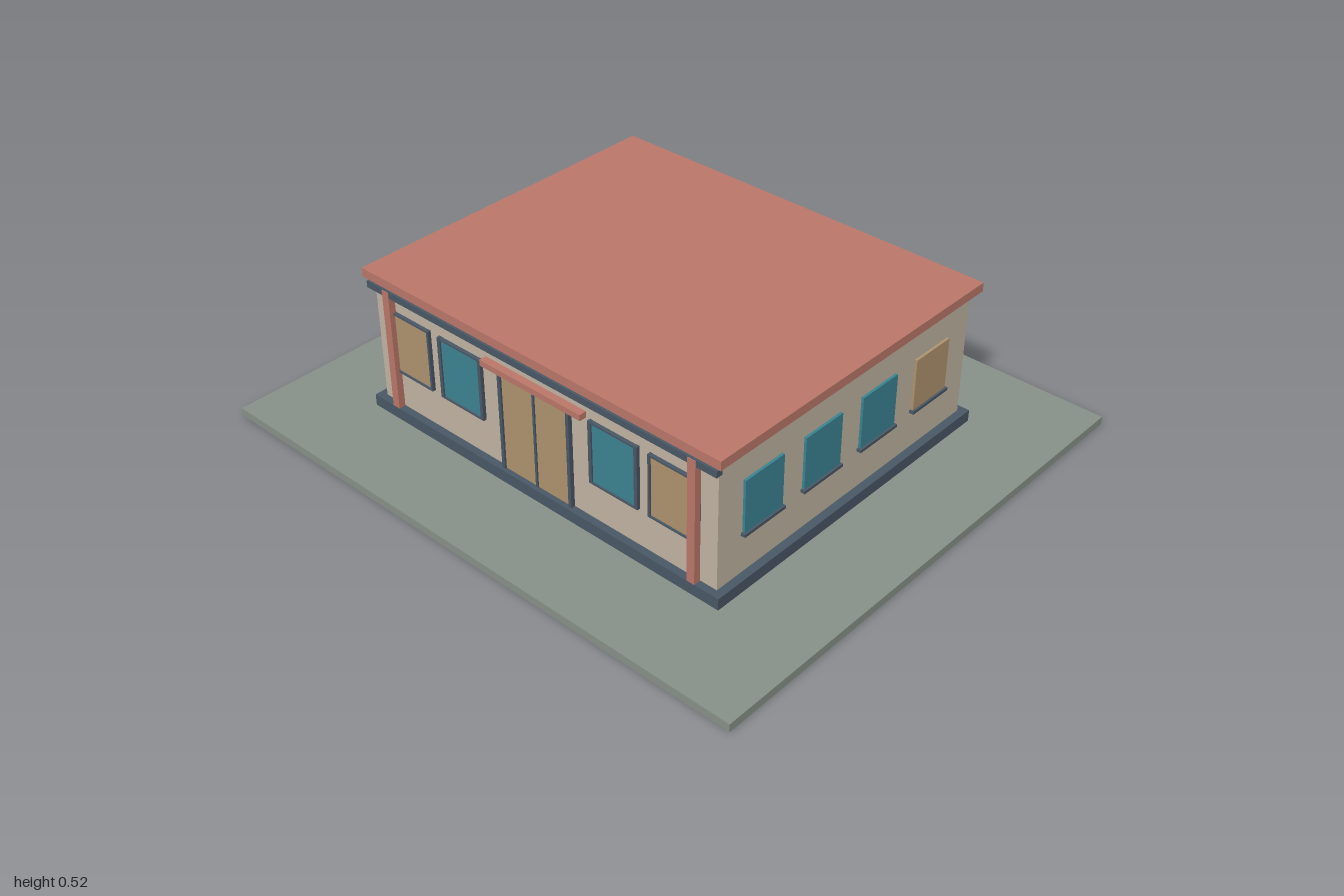
import * as THREE from 'three';

const material = (name, color) => {
  const m = new THREE.MeshStandardMaterial({ color });
  m.name = name;
  return m;
};

export function createModel() {
  const terracotta = material('terracotta', 0xbd796b);
  const plaster = material('plaster', 0xc3b6a5);
  const slate = material('slate', 0x4a5866);
  const glass = material('tealGlass', 0x3b8594);
  const tan = material('tanPanel', 0xb09570);
  const paving = material('paving', 0x89938a);

  const model = new THREE.Group();
  model.name = 'house';

  // Box given by its centre x and z, its bottom and top, and its width and depth
  const box = (parent, name, mat, x, z, y0, y1, w, d) => {
    const mesh = new THREE.Mesh(new THREE.BoxGeometry(w, y1 - y0, d), mat);
    mesh.position.set(x, (y0 + y1) / 2, z);
    mesh.name = name;
    parent.add(mesh);
    return mesh;
  };

  // Main masses
  box(model, 'groundSlab', paving, 0, 0, 0, 0.027, 2, 1.76);
  box(model, 'plinth', slate, 0, 0, 0.027, 0.066, 1.41, 1.17);
  box(model, 'walls', plaster, 0, 0, 0.066, 0.48, 1.356, 1.12);
  box(model, 'roofSlab', terracotta, 0, 0, 0.494, 0.524, 1.41, 1.17);

  // One group per facade, with local z = 0 on the wall surface
  const facade = (name, angle, distance) => {
    const g = new THREE.Group();
    g.name = name;
    g.rotation.y = angle;
    g.position.set(Math.sin(angle) * distance, 0, Math.cos(angle) * distance);
    model.add(g);
    return g;
  };
  const front = facade('frontFacade', 0, 0.56);
  const back = facade('backFacade', Math.PI, 0.56);
  const sides = [
    facade('leftFacade', Math.PI / 2, 0.678),
    facade('rightFacade', -Math.PI / 2, 0.678),
  ];

  // Window pane with a projecting sill
  const plainWindow = (wall, x, w, mat) => {
    box(wall, 'windowPane', mat, x, 0.004, 0.205, 0.382, w, 0.009);
    box(wall, 'windowSill', slate, x, 0.007, 0.197, 0.207, w + 0.012, 0.016);
  };
  for (const wall of sides) {
    [-0.38, -0.127, 0.127, 0.38].forEach((x, i) => plainWindow(wall, x, 0.16, i === 3 ? tan : glass));
  }
  for (let i = -2; i <= 2; i++) plainWindow(back, i * 0.259, 0.172, i === 0 ? tan : glass);

  // Front windows with slim frames
  const framedWindow = (x, w, mat, jamb) => {
    box(front, 'frontWindowPane', mat, x, 0.003, 0.2, 0.402, w, 0.008);
    for (const s of [-1, 1]) {
      box(front, 'windowJamb', slate, x + s * w / 2, 0.006, 0.195, 0.407, jamb, 0.012);
    }
    box(front, 'windowHead', slate, x, 0.006, 0.4, 0.406, w + jamb, 0.012);
    box(front, 'windowSill', slate, x, 0.006, 0.195, 0.201, w + jamb, 0.012);
  };
  for (const s of [-1, 1]) {
    framedWindow(s * 0.307, 0.172, glass, 0.012);
    framedWindow(s * 0.528, 0.172, tan, 0.008);
  }

  // Double door with frame and canopy
  for (const s of [-1, 1]) {
    box(front, 'doorLeaf', tan, s * 0.066, 0.003, 0.066, 0.386, 0.13, 0.009);
    box(front, 'doorJamb', slate, s * 0.137, 0.007, 0.066, 0.392, 0.012, 0.014);
  }
  box(front, 'doorMullion', slate, 0, 0.006, 0.066, 0.388, 0.008, 0.012);
  box(front, 'doorCanopy', terracotta, 0, 0.012, 0.404, 0.424, 0.4, 0.026);

  // Eave beam and corner posts
  box(front, 'eaveBeam', slate, 0, 0.012, 0.462, 0.484, 1.38, 0.022);
  for (const s of [-1, 1]) {
    box(front, 'frontPost', terracotta, s * 0.605, 0.0135, 0.066, 0.482, 0.028, 0.023);
  }

  return model;
}
